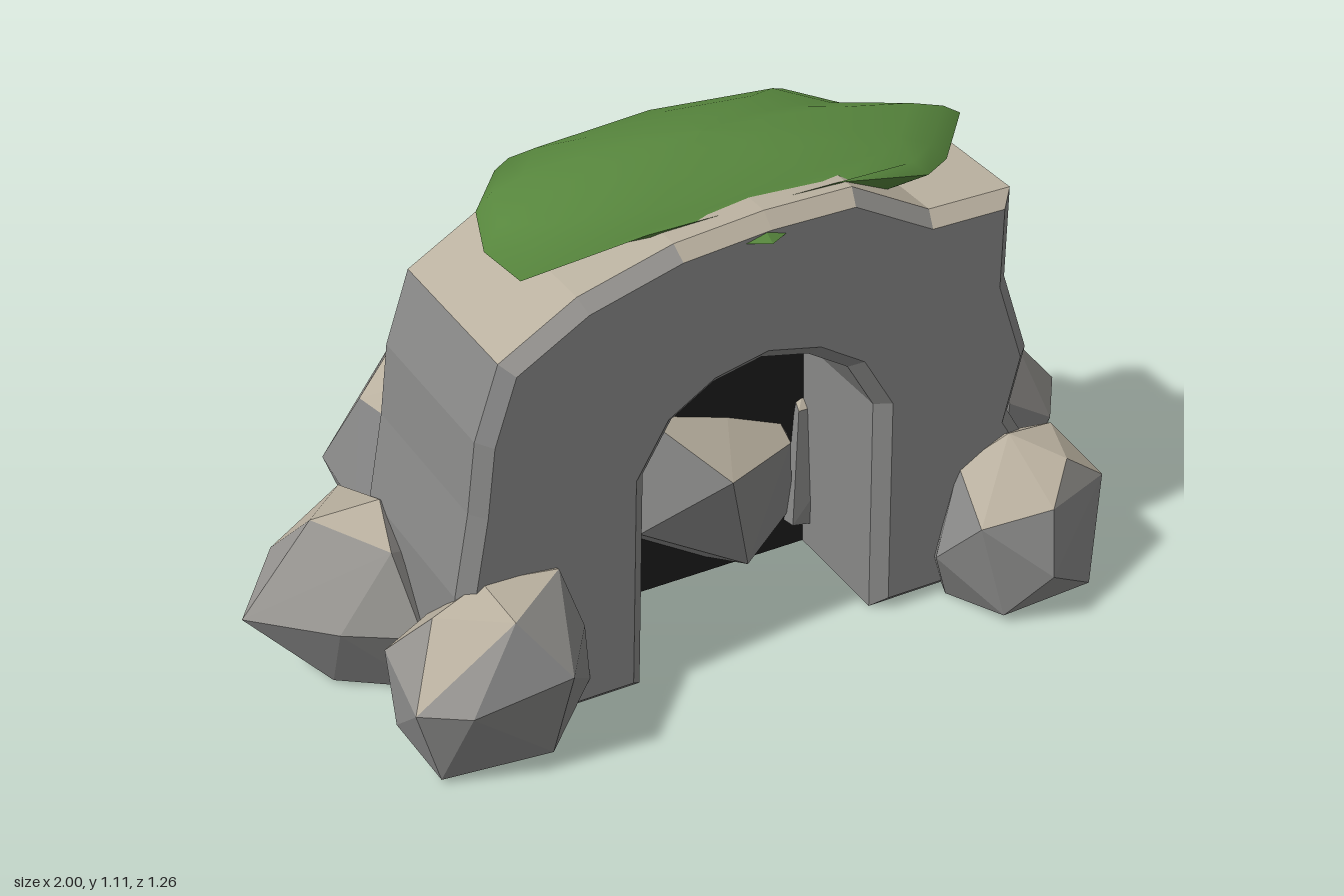
import * as THREE from 'three';
import { ConvexGeometry } from 'three/addons/geometries/ConvexGeometry.js';

function material(name, color, options = {}) {
  const m = new THREE.MeshStandardMaterial({ color, ...options });
  m.name = name;
  return m;
}
const sideStone = material('side stone', 0x898988, { flatShading: true });
const slopeStone = material('slope stone', 0x969490, { flatShading: true });
const topStone = material('top stone', 0xb9b09f, { flatShading: true });
const stones = [sideStone, slopeStone, topStone];
const mossGreen = material('moss green', 0x57863d);
const caveDark = material('cave dark', 0x1d1d1d, { side: THREE.DoubleSide });

function add(group, name, geometry, mat) {
  const mesh = new THREE.Mesh(geometry, mat);
  mesh.name = name;
  group.add(mesh);
  return mesh;
}

// Sorts the triangles into three stone colours: sides, slopes and tops
function colourBySlope(geometry) {
  const p = geometry.attributes.position;
  const buckets = [[], [], []];
  const tri = new THREE.Triangle(), normal = new THREE.Vector3();
  for (let i = 0; i < p.count; i += 3) {
    tri.setFromAttributeAndIndices(p, i, i + 1, i + 2);
    const up = tri.getNormal(normal).y;
    const k = up > 0.68 ? 2 : up > 0.42 ? 1 : 0;
    buckets[k].push(...tri.a.toArray(), ...tri.b.toArray(), ...tri.c.toArray());
  }
  const g = new THREE.BufferGeometry();
  g.setAttribute('position', new THREE.Float32BufferAttribute(buckets.flat(), 3));
  let start = 0;
  buckets.forEach((b, k) => {
    g.addGroup(start, b.length / 3, k);
    start += b.length / 3;
  });
  g.computeVertexNormals();
  return g;
}

function polygon(points) {
  return new THREE.Shape(points.map(([x, y]) => new THREE.Vector2(x, y)));
}

// Doorway outline, from the left foot over the crown to the right foot
const halfDoor = [[0.28, 0], [0.27, 0.52], [0.205, 0.63], [0.11, 0.69]];
const doorway = [...halfDoor.map(([x, y]) => [-x, y]), [0, 0.715], ...[...halfDoor].reverse()];

// Bevelled stone arch with an uneven outer outline
function archGeometry() {
  const outer = [
    [0.7, 0], [0.7, 0.25], [0.61, 0.4], [0.645, 0.55], [0.58, 0.74], [0.58, 0.95], [0.385, 0.95],
    [0.2, 1.05], [0, 1.05], [-0.2, 1.03], [-0.41, 0.97], [-0.58, 0.87], [-0.635, 0.71],
    [-0.655, 0.55], [-0.69, 0.36], [-0.7, 0],
  ];
  const bevel = 0.03;
  const g = new THREE.ExtrudeGeometry(polygon([...outer, ...doorway]), {
    depth: 0.41, bevelEnabled: true, bevelSegments: 1,
    bevelSize: bevel, bevelThickness: bevel, bevelOffset: -bevel,
  });
  return colourBySlope(g.translate(0, 0, -0.03));
}

// Faceted boulders, each the hull of a few corner points
const boulders = {
  frontRightBoulder: [
    [-0.83, 0.19, 0.485], [-0.8, 0.2, 0.27], [-0.78, 0.01, 0.48], [-0.74, 0.2, 0.56],
    [-0.53, 0.24, 0.58], [-0.55, 0.02, 0.52], [-0.41, 0.08, 0.41], [-0.44, 0.25, 0.45],
    [-0.64, 0.395, 0.4], [-0.48, 0.385, 0.42], [-0.62, 0.36, 0.51], [-0.74, 0.33, 0.38],
    [-0.5, 0.3, 0.2], [-0.7, 0, 0.25], [-0.45, 0, 0.25], [-0.82, 0.08, 0.36],
  ],
  frontLeftBoulder: [
    [0.4, 0.13, 0.45], [0.45, 0.24, 0.54], [0.58, 0.13, 0.63], [0.6, 0.27, 0.585],
    [0.59, 0.37, 0.42], [0.68, 0.33, 0.51], [0.72, 0.34, 0.39], [0.785, 0.25, 0.5],
    [0.8, 0.15, 0.39], [0.72, 0.03, 0.57], [0.5, 0.02, 0.57], [0.45, 0, 0.42], [0.76, 0, 0.42],
    [0.48, 0.31, 0.4], [0.6, 0.1, 0.24], [0.55, 0.3, 0.3], [0.72, 0.14, 0.26], [0.5, 0, 0.28],
  ],
  sideRightBoulder: [
    [-1, 0.17, 0], [-0.865, 0.2, -0.17], [-0.71, 0.18, -0.29], [-0.62, 0.2, -0.25],
    [-0.83, 0.35, -0.02], [-0.69, 0.38, 0.02], [-0.7, 0.3, -0.18], [-0.7, 0.17, 0.24],
    [-0.85, 0.18, 0.16], [-0.84, 0.01, 0.08], [-0.84, 0.01, -0.12], [-0.7, 0, -0.2],
    [-0.72, 0.33, 0.14], [-0.68, 0, 0.18], [-0.5, 0.2, 0], [-0.52, 0.05, -0.1], [-0.55, 0.1, 0.15],
  ],
  sideLeftBoulder: [
    [1, 0.16, 0.01], [0.84, 0.34, -0.05], [0.72, 0.37, 0.15], [0.7, 0.38, 0], [0.88, 0.24, -0.17],
    [0.9, 0.16, -0.19], [0.8, 0.04, -0.18], [0.72, 0.27, -0.19], [0.66, 0.1, -0.2],
    [0.89, 0.17, 0.16], [0.7, 0.04, 0.24], [0.74, 0.28, 0.21], [0.8, 0.01, 0], [0.88, 0.04, 0.12],
    [0.55, 0, 0.15], [0.55, 0.2, 0], [0.7, 0, -0.15], [0.84, 0.34, 0.08],
  ],
  backRightBoulder: [
    [-0.66, 0.25, -0.365], [-0.53, 0.2, -0.5], [-0.315, 0.25, -0.54], [-0.22, 0.2, -0.49],
    [-0.42, 0.595, -0.34], [-0.65, 0.2, -0.22], [-0.53, 0.4, -0.07], [-0.6, 0.43, -0.28],
    [-0.3, 0.5, -0.2], [-0.27, 0.45, -0.42], [-0.4, 0.45, -0.49], [-0.5, 0.02, -0.42],
    [-0.3, 0.01, -0.46], [-0.6, 0.02, -0.2], [-0.25, 0.35, 0.15], [-0.24, 0.05, 0.14],
    [-0.5, 0, 0.05], [-0.2, 0, -0.1], [-0.35, 0.56, -0.08],
  ],
  backLeftBoulder: [
    [0.29, 0.25, -0.4], [0.37, 0.22, -0.44], [0.51, 0.25, -0.4], [0.65, 0.22, -0.3],
    [0.65, 0.25, -0.12], [0.5, 0.45, -0.28], [0.45, 0.55, -0.1], [0.32, 0.46, -0.33],
    [0.3, 0.5, -0.12], [0.62, 0.4, -0.1], [0.58, 0.02, -0.28], [0.4, 0.01, -0.36],
    [0.62, 0.02, -0.05], [0.25, 0.36, 0.12], [0.23, 0.08, 0.14], [0.5, 0.35, 0.1],
    [0.5, 0, 0.1], [0.24, 0, -0.2],
  ],
  backMiddleBoulder: [
    [0, 0.26, -0.63], [0.14, 0.28, -0.57], [-0.2, 0.25, -0.56], [0.02, 0.45, -0.56],
    [-0.14, 0.45, -0.46], [0.21, 0.4, -0.44], [-0.28, 0.25, -0.37], [0.31, 0.25, -0.27],
    [0.3, 0.3, -0.12], [-0.05, 0.57, -0.2], [0.12, 0.54, -0.38], [-0.18, 0.53, -0.2],
    [0.2, 0.5, -0.15], [0.05, 0.02, -0.47], [-0.15, 0.02, -0.45], [0.22, 0.02, -0.35],
    [-0.25, 0.03, -0.2], [0.28, 0.03, 0], [-0.14, 0.47, 0.08], [0.02, 0.32, 0.24],
    [-0.16, 0.2, 0.16], [0.1, 0.04, 0.17], [0.22, 0.3, 0.14], [-0.2, 0.35, 0.05], [0.25, 0.1, 0.1],
  ],
};

function boulderGeometry(corners) {
  return colourBySlope(new ConvexGeometry(corners.map((c) => new THREE.Vector3(...c))));
}

// Moss cushion: rings scaled from one rim outline, domed above and shallow below
function mossGeometry() {
  const rim = [
    [-0.49, 0.97, 0.14], [-0.45, 0.99, 0.02], [-0.35, 1.0, -0.1], [0, 1.0, -0.145],
    [0.34, 1.0, -0.1], [0.43, 1.0, 0.04], [0.61, 1.005, 0.145], [0.49, 0.99, 0.28],
    [0.41, 1.0, 0.335], [0.18, 1.055, 0.36], [-0.23, 1.035, 0.335], [-0.47, 0.96, 0.26],
  ];
  // Each ring: scale, level, and how far it follows the level instead of the rim
  const rings = [
    [0, 0.95, 1], [0.75, 0.955, 1], [1, 0, 0], [1, 0, 0], [0.93, 1.04, 0.75],
    [0.8, 1.065, 0.85], [0.55, 1.088, 0.95], [0.28, 1.103, 1], [0, 1.108, 1],
  ];
  const n = rim.length, pos = [], idx = [];
  for (const [s, level, mix] of rings) {
    for (const [x, y, z] of rim) pos.push(x * s, y + (level - y) * mix, 0.13 + (z - 0.13) * s);
  }
  for (let r = 0; r < rings.length - 1; r++) {
    for (let i = 0; i < n; i++) {
      const a = r * n + i, b = r * n + (i + 1) % n;
      idx.push(a, a + n, b, b, a + n, b + n);
    }
  }
  const g = new THREE.BufferGeometry();
  g.setAttribute('position', new THREE.Float32BufferAttribute(pos, 3));
  g.setIndex(idx);
  g.computeVertexNormals();
  return g;
}

export function createModel() {
  const model = new THREE.Group();
  model.name = 'rockCave';

  add(model, 'stoneArch', archGeometry(), stones);

  // Dark panel closing the doorway part-way in
  add(model, 'caveDarkness', new THREE.ShapeGeometry(polygon(doorway)), caveDark).position.z = 0.1;

  // Boulders around the sides and back
  for (const [name, corners] of Object.entries(boulders)) {
    add(model, name, boulderGeometry(corners), stones);
  }

  // Moss on the crown, with a small tuft poking out at the front
  add(model, 'mossCap', mossGeometry(), mossGreen);
  const tuft = add(model, 'mossTuft', new THREE.OctahedronGeometry(1), mossGreen);
  tuft.scale.set(0.09, 0.025, 0.05);
  tuft.position.set(-0.01, 1.005, 0.385);

  return model;
}
